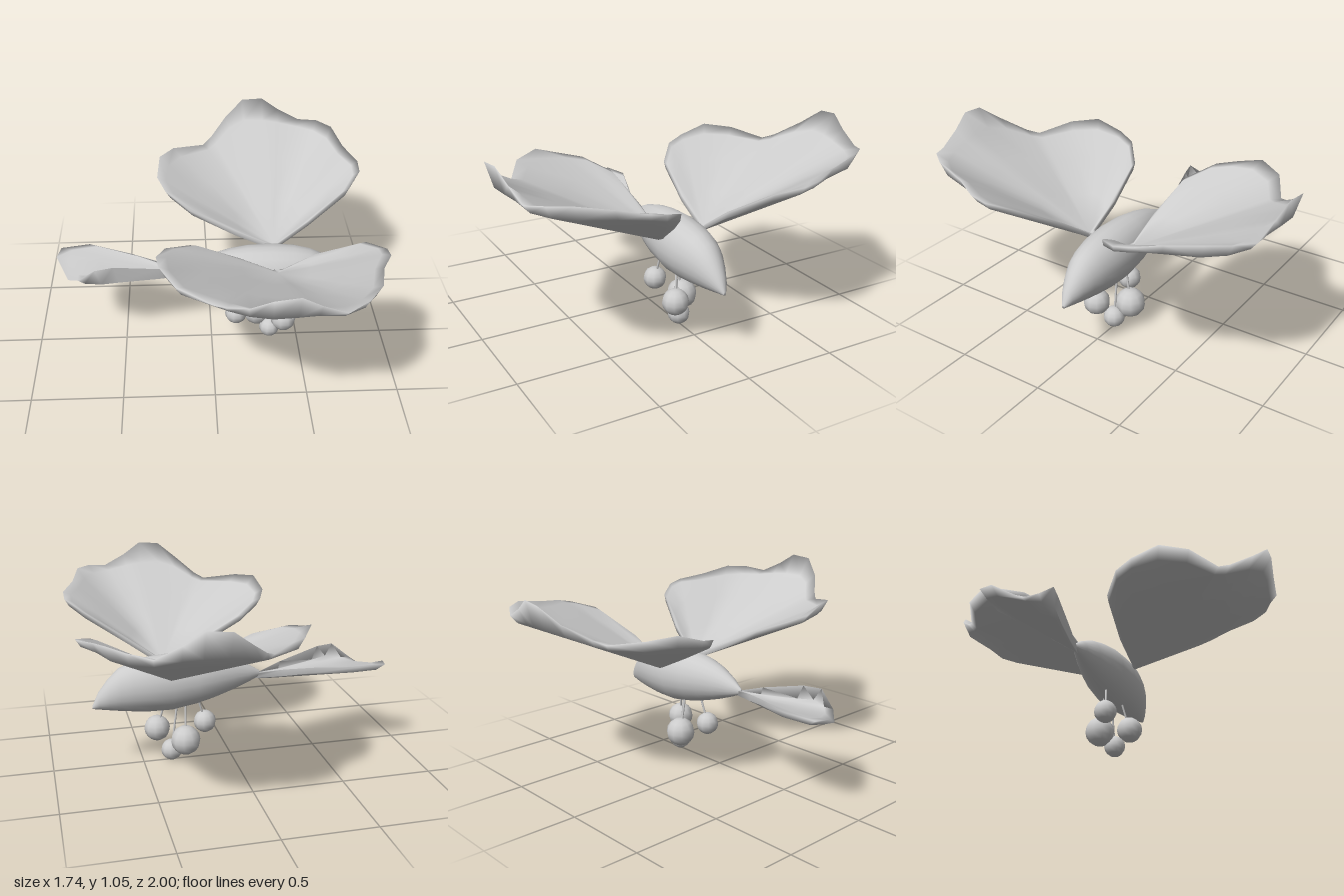
import * as THREE from 'three';

const plain = new THREE.MeshStandardMaterial({ color: 0xcccccc });
plain.name = 'light grey';

function named(name, geometry) {
  const mesh = new THREE.Mesh(geometry, plain);
  mesh.name = name;
  return mesh;
}

// Indexed surface with smooth normals
function surface(positions, index) {
  const g = new THREE.BufferGeometry();
  g.setAttribute('position', new THREE.Float32BufferAttribute(positions, 3));
  g.setIndex(index);
  g.computeVertexNormals();
  return g;
}

// Closed petal: an upper and a lower skin around a centre, sharing a curled rim.
// Each row: rim x, rim z, rim height, height of the lower skin just inside the rim.
// insets: how far the upper and the lower skin reach towards the rim.
function petal(centre, rows, insets, thickness, side = 1) {
  const [cx, cy, cz] = centre;
  const steps = [0.35, 0.7, 1];
  const n = rows.length, skin = 1 + steps.length * n;
  const pos = [], idx = [];
  insets.forEach((inset, layer) => {
    const lift = layer === 0 ? thickness : 0;
    pos.push(cx, cy + lift, cz * side);
    for (const s of steps) {
      for (const [x, z, , yIn] of rows) {
        const t = s * inset;
        pos.push(cx + (x - cx) * t, cy + (yIn - cy) * s + lift, (cz + (z - cz) * t) * side);
      }
    }
  });
  for (const [x, z, yRim] of rows) pos.push(x, yRim, z * side);

  for (const layer of [0, 1]) {
    const up = (layer === 0) === (side > 0);
    const tri = (a, b, c) => (up ? idx.push(a, b, c) : idx.push(a, c, b));
    const ring = (k, i) => (k < steps.length ? layer * skin + 1 + k * n : 2 * skin) + (i % n);
    for (let i = 0; i < n; i++) {
      tri(layer * skin, ring(0, i), ring(0, i + 1));
      for (let k = 0; k < steps.length; k++) {
        tri(ring(k, i), ring(k + 1, i), ring(k + 1, i + 1));
        tri(ring(k, i), ring(k + 1, i + 1), ring(k, i + 1));
      }
    }
  }
  return surface(pos, idx);
}

// Body lofted along x. Each row: x, top, bottom, half width.
function bodyGeometry() {
  const rows = [
    [-0.17, 0.488, 0.458, 0.008], [-0.1, 0.534, 0.427, 0.04], [0, 0.58, 0.389, 0.075],
    [0.1, 0.607, 0.357, 0.103], [0.2, 0.622, 0.332, 0.124], [0.34, 0.626, 0.309, 0.135],
    [0.46, 0.616, 0.31, 0.128], [0.55, 0.596, 0.317, 0.11], [0.62, 0.564, 0.325, 0.09],
    [0.68, 0.508, 0.333, 0.064], [0.735, 0.438, 0.341, 0.035], [0.77, 0.364, 0.346, 0.008],
  ];
  const sides = 20, pos = [], idx = [];
  for (const [x, top, bottom, w] of rows) {
    for (let j = 0; j < sides; j++) {
      const a = (j / sides) * Math.PI * 2;
      pos.push(x, (top + bottom) / 2 + Math.cos(a) * (top - bottom) / 2, Math.sin(a) * w);
    }
  }
  for (let i = 0; i < rows.length - 1; i++) {
    for (let j = 0; j < sides; j++) {
      const a = i * sides + j, b = i * sides + (j + 1) % sides;
      idx.push(a, b, b + sides, a, b + sides, a + sides);
    }
  }
  // end caps
  const last = (rows.length - 1) * sides;
  for (let j = 1; j < sides - 1; j++) {
    idx.push(0, j + 1, j, last, last + j, last + j + 1);
  }
  return surface(pos, idx);
}

// Thin rod between two points
function rod(a, b, r) {
  const dir = b.clone().sub(a);
  const g = new THREE.CylinderGeometry(r, r, dir.length(), 8);
  g.applyQuaternion(new THREE.Quaternion().setFromUnitVectors(new THREE.Vector3(0, 1, 0), dir.normalize()));
  const m = a.clone().add(b).multiplyScalar(0.5);
  return g.translate(m.x, m.y, m.z);
}

export function createModel() {
  const model = new THREE.Group();
  model.name = 'wingedSeed';
  model.add(named('body', bodyGeometry()));

  // pair of cupped wings, rim running from the root around and back
  const wingRows = [
    [0.357, 0.088, 0.512, 0.515], [0.325, 0.125, 0.55, 0.533], [0.13, 0.13, 0.645, 0.62],
    [-0.12, 0.17, 0.77, 0.735], [-0.25, 0.28, 0.83, 0.79], [-0.295, 0.39, 0.855, 0.81],
    [-0.28, 0.54, 0.905, 0.832], [-0.2, 0.68, 0.885, 0.823], [-0.02, 0.78, 0.85, 0.815],
    [0.03, 0.83, 0.875, 0.83], [0.125, 0.94, 0.955, 0.88], [0.23, 0.998, 1.04, 0.908],
    [0.35, 0.99, 1.05, 0.908], [0.45, 0.97, 0.985, 0.9], [0.575, 0.95, 0.925, 0.88],
    [0.68, 0.89, 0.945, 0.877], [0.755, 0.79, 0.95, 0.872], [0.8, 0.61, 0.915, 0.858],
    [0.865, 0.47, 0.89, 0.85], [0.865, 0.385, 0.87, 0.83], [0.785, 0.265, 0.83, 0.787],
    [0.56, 0.16, 0.685, 0.655], [0.385, 0.125, 0.56, 0.538],
  ];
  for (const side of [1, -1]) {
    const name = side > 0 ? 'leftSideWing' : 'rightSideWing';
    model.add(named(name, petal([0.357, 0.522, 0.14], wingRows, [0.92, 0.955], 0.028, side)));
  }

  // lopsided tail petal
  const tailRows = [
    [-0.13, 0, 0.466, 0.445], [-0.3, -0.062, 0.503, 0.463], [-0.45, -0.118, 0.52, 0.485],
    [-0.69, -0.205, 0.533, 0.5], [-0.85, -0.18, 0.528, 0.495], [-0.87, -0.1, 0.522, 0.482],
    [-0.8, 0.03, 0.455, 0.458], [-0.74, 0.09, 0.495, 0.468], [-0.64, 0.115, 0.575, 0.477],
    [-0.54, 0.088, 0.575, 0.468], [-0.3, 0.035, 0.52, 0.45],
  ];
  model.add(named('tail', petal([-0.21, 0.438, 0], tailRows, [0.9, 0.93], 0.03)));

  // hanging balls: centre, radius, then top of the stalk
  const balls = [
    [0.14, 0.198, 0.035, 0.064, 0.19, 0.38, 0.02],
    [0.27, 0.135, -0.06, 0.083, 0.262, 0.36, -0.025],
    [0.41, 0.172, 0.064, 0.073, 0.36, 0.36, 0.03],
    [0.34, 0.06, 0, 0.06, 0.302, 0.35, 0],
  ];
  for (const [x, y, z, r, tx, ty, tz] of balls) {
    const pendant = new THREE.Group();
    pendant.name = 'pendant';
    pendant.add(named('ball', new THREE.SphereGeometry(r, 10, 8).translate(x, y, z)));
    pendant.add(named('stalk', rod(new THREE.Vector3(x, y, z), new THREE.Vector3(tx, ty, tz), 0.006)));
    model.add(pendant);
  }
  return model;
}
